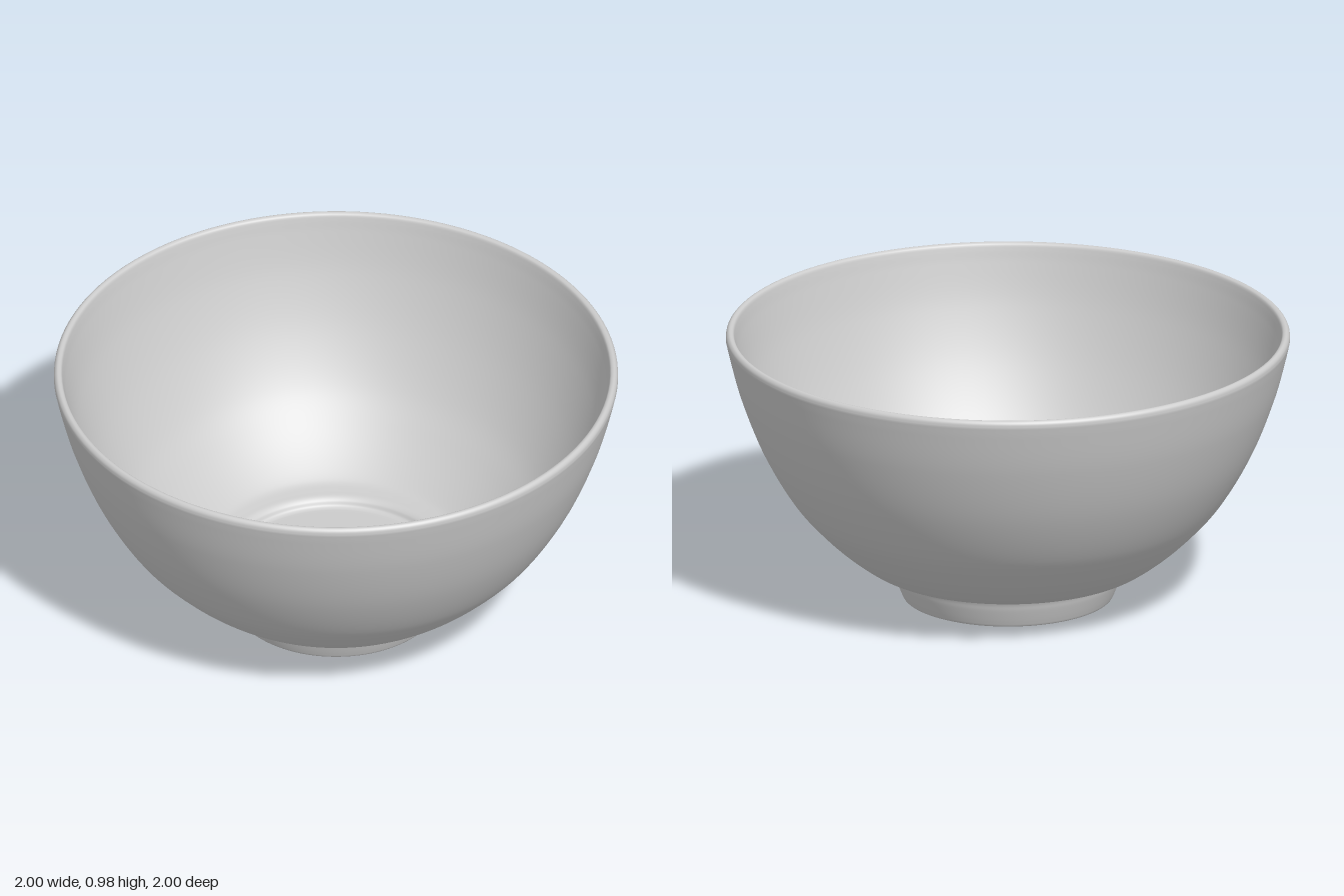
import * as THREE from 'three';

const material = new THREE.MeshStandardMaterial({ color: 0xcccccc });

// Smooth run of [radius, height] points
function curve(points, divisions) {
  const path = new THREE.CatmullRomCurve3(
    points.map(([r, y]) => new THREE.Vector3(r, y, 0)), false, 'centripetal');
  return path.getPoints(divisions).map((p) => new THREE.Vector2(Math.max(p.x, 0), p.y));
}

// Straight run of [radius, height] points
const line = (points) => points.map(([r, y]) => new THREE.Vector2(r, y));

function turned(name, profile) {
  const mesh = new THREE.Mesh(new THREE.LatheGeometry(profile, 128), material);
  mesh.name = name;
  return mesh;
}

export function createModel() {
  const group = new THREE.Group();
  group.name = 'bowl';

  // Outer wall, from the ledge above the foot up to the rim
  const outside = curve([
    [0.425, 0.108], [0.455, 0.114], [0.487, 0.124], [0.52, 0.142], [0.6, 0.202],
    [0.68, 0.277], [0.765, 0.375], [0.87, 0.555], [0.95, 0.76], [0.99, 0.91], [1, 0.955],
  ], 80);

  // Rounded rim
  const rim = curve([
    [1, 0.955], [0.998, 0.97], [0.99, 0.979], [0.982, 0.98], [0.973, 0.975], [0.967, 0.955],
  ], 20).slice(1);

  // Inner wall, with its ledge and the step down to the floor
  const inside = curve([
    [0.967, 0.955], [0.957, 0.91], [0.917, 0.765], [0.838, 0.57], [0.738, 0.398],
    [0.655, 0.302], [0.575, 0.228], [0.5, 0.172], [0.475, 0.159], [0.445, 0.152],
    [0.42, 0.147], [0.405, 0.137], [0.395, 0.122], [0.383, 0.116], [0.37, 0.115],
  ], 110).slice(1);
  const floor = line([[0.36, 0.115], [0, 0.115]]);
  group.add(turned('bowlBody', [...outside, ...rim, ...inside, ...floor]));

  // Hollow foot ring: recessed underside, lip, flared side
  const underside = line([
    [0, 0.082], [0.3, 0.082], [0.312, 0.081], [0.316, 0.077], [0.331, 0.006],
    [0.333, 0.002], [0.337, 0], [0.368, 0], [0.373, 0.002], [0.376, 0.007],
  ]);
  const side = curve([
    [0.376, 0.007], [0.385, 0.03], [0.398, 0.068], [0.404, 0.09], [0.411, 0.103], [0.425, 0.108],
  ], 24).slice(1);
  group.add(turned('footRing', [...underside, ...side]));

  return group;
}
